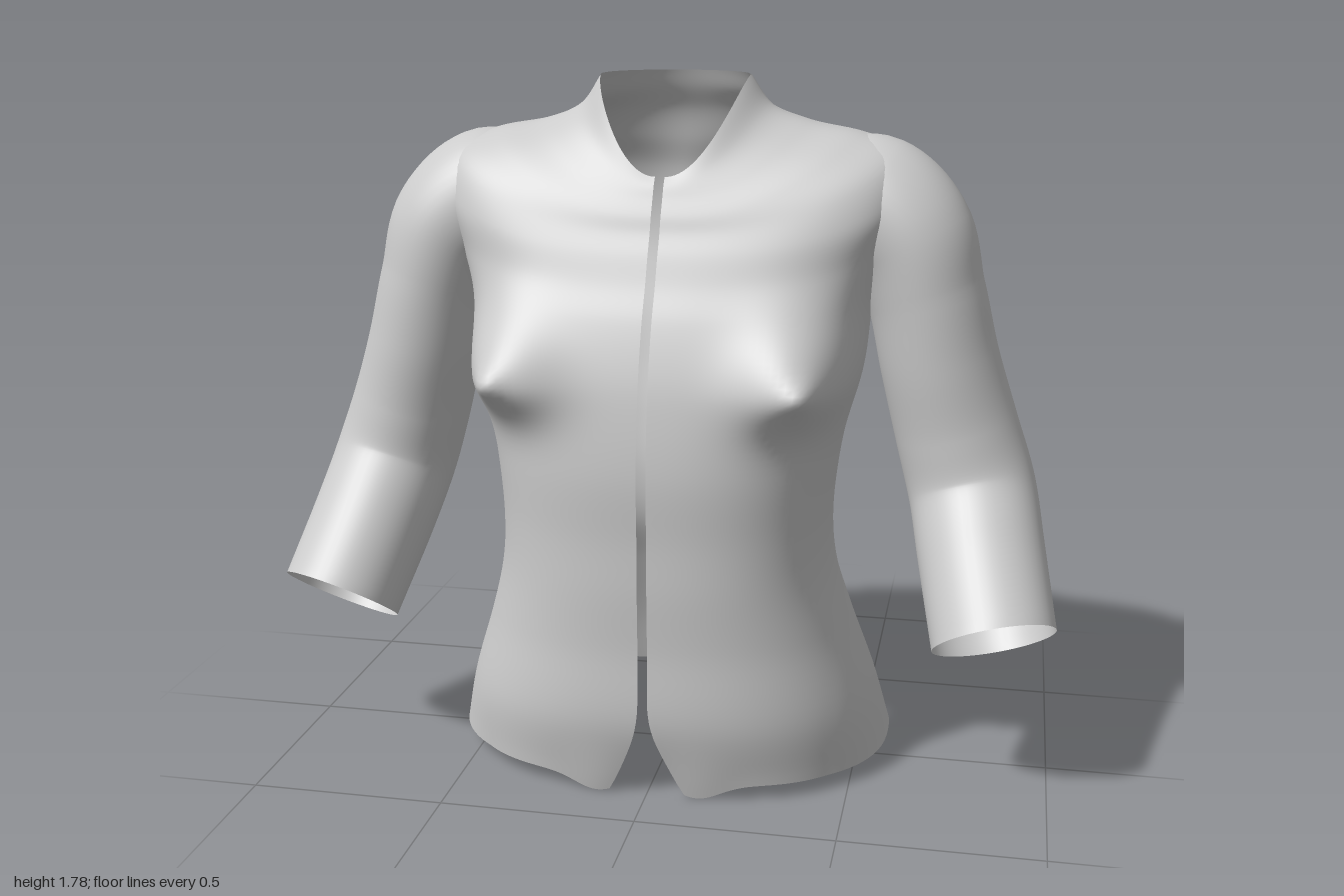
import * as THREE from 'three';

const bell = (x, w) => Math.exp(-((x / w) ** 2));

// Surface through a grid of points, rows[i][j]
function skin(rows, name) {
  const pos = [], idx = [], n = rows[0].length;
  rows.forEach(r => r.forEach(p => pos.push(p.x, p.y, p.z)));
  for (let i = 0; i < rows.length - 1; i++) {
    for (let j = 0; j < n - 1; j++) {
      const a = i * n + j, b = a + 1, c = a + n, d = c + 1;
      idx.push(a, b, d, a, d, c);
    }
  }
  const geo = new THREE.BufferGeometry();
  geo.setAttribute('position', new THREE.Float32BufferAttribute(pos, 3));
  geo.setIndex(idx);
  geo.computeVertexNormals();
  const mat = new THREE.MeshStandardMaterial({ color: 0xcccccc, roughness: 0.8, side: THREE.DoubleSide });
  const mesh = new THREE.Mesh(geo, mat);
  mesh.name = name;
  return mesh;
}

// Body rings from hem to neck:
// front y, front z, half width, side y, side z, back y, back z, roundness
const RINGS = [
  [0.04, 0.35, 0.58, 0.04, -0.08, 0.04, -0.45, 0.82],
  [0.20, 0.395, 0.54, 0.20, -0.04, 0.20, -0.40, 0.82],
  [0.40, 0.395, 0.475, 0.40, 0.0, 0.40, -0.32, 0.82],
  [0.55, 0.40, 0.435, 0.55, 0.03, 0.55, -0.255, 0.82],
  [0.68, 0.40, 0.425, 0.68, 0.04, 0.68, -0.24, 0.80],
  [0.85, 0.405, 0.44, 0.85, 0.03, 0.85, -0.26, 0.78],
  [1.00, 0.39, 0.47, 1.00, 0.0, 1.00, -0.29, 0.75],
  [1.10, 0.37, 0.49, 1.10, -0.02, 1.10, -0.31, 0.75],
  [1.22, 0.33, 0.51, 1.24, -0.03, 1.22, -0.335, 0.76],
  [1.30, 0.29, 0.55, 1.36, -0.04, 1.34, -0.35, 0.78],
  [1.37, 0.26, 0.60, 1.50, -0.05, 1.44, -0.345, 0.80],
  [1.42, 0.235, 0.58, 1.60, -0.06, 1.52, -0.325, 0.82],
  [1.46, 0.22, 0.47, 1.645, -0.06, 1.60, -0.285, 0.86],
  [1.50, 0.20, 0.34, 1.67, -0.06, 1.68, -0.25, 0.92],
  [1.53, 0.185, 0.24, 1.71, -0.05, 1.74, -0.215, 1],
  [1.55, 0.17, 0.183, 1.785, -0.04, 1.785, -0.195, 1],
];

function ringPoint([yf, zf, w, ys, zs, yb, zb, e], t) {
  const s = Math.sin(t), c = Math.cos(t), front = c > 0;
  const x = Math.sign(s) * w * Math.abs(s) ** e;
  const z = zs + ((front ? zf : zb) - zs) * Math.abs(c) ** e;
  const y = ys + ((front ? yf : yb) - ys) * c * c;
  return new THREE.Vector3(x, y, z);
}

// Bust, spine groove, front opening and hem dip
function sculpt(p, side, front) {
  const ax = Math.abs(p.x);
  if (front) {
    const dx = ax - 0.35, dy = p.y - 1.07;
    const low = dy < 0 ? 0.095 : 0.15;
    const lift = 0.105 * bell(dx, 0.13) * bell(dy, low) + 0.025 * bell(dx, 0.035) * bell(dy, 0.035);
    p.z += lift;
    p.x += side * lift * 0.25;
    const k = Math.max(0, 1 - p.y / 0.28);
    const gap = 0.012 + 0.12 * k ** 2.2;
    p.x += side * gap * Math.max(0, 1 - ax / 0.45);
    p.y -= 0.04 * bell(Math.abs(p.x) - 0.13, 0.08) * bell(p.y - 0.04, 0.08);
  } else {
    const fade = THREE.MathUtils.smoothstep(1.7 - p.y, 0, 0.25);
    p.z += fade * (0.03 * bell(p.x, 0.09) + 0.025 * bell(p.x, 0.05) * bell(p.y, 0.2));
    p.z -= 0.02 * bell(ax - 0.24, 0.12) * bell(p.y - 1.36, 0.18);
  }
  return p;
}

function makeBody() {
  const COLS = 160, STEPS = 110, rows = [];
  for (let i = 0; i <= STEPS; i++) rows.push([]);
  // two halves meet at the back and stay open at the front
  for (let j = 0; j <= COLS; j++) {
    const a = (j / COLS * 2 - 1) * Math.PI;
    const t = a - 0.36 * Math.sin(2 * a) + Math.PI;
    const m = t % (2 * Math.PI);
    const side = j === COLS / 2 ? 0 : (j < COLS / 2 ? 1 : -1);
    const curve = new THREE.CatmullRomCurve3(RINGS.map(r => ringPoint(r, m)));
    const front = Math.cos(m) > 0;
    for (let i = 0; i <= STEPS; i++) rows[i].push(sculpt(curve.getPoint(i / STEPS), side, front));
  }
  return skin(rows, 'body');
}

// Sleeve stations: centre x, y, z, radius across, radius front to back
const ARM = [
  [0.38, 1.47, -0.06, 0.15, 0.15],
  [0.50, 1.46, -0.055, 0.18, 0.18],
  [0.59, 1.39, -0.04, 0.165, 0.18],
  [0.64, 1.25, -0.035, 0.148, 0.175],
  [0.68, 1.08, -0.035, 0.15, 0.17],
  [0.73, 0.90, -0.04, 0.157, 0.167],
  [0.775, 0.75, -0.02, 0.162, 0.165],
  [0.805, 0.62, 0.07, 0.16, 0.165],
  [0.85, 0.435, 0.225, 0.155, 0.16],
];

function makeSleeve(side) {
  const path = new THREE.CatmullRomCurve3(ARM.map(a => new THREE.Vector3(a[0], a[1], a[2])));
  const radii = new THREE.CatmullRomCurve3(ARM.map(a => new THREE.Vector3(a[3], a[4], 0)));
  const cuffDir = new THREE.Vector3(0.08, -0.27, 0.17).normalize();
  const rows = [], STEPS = 64, SIDES = 48;
  for (let i = 0; i <= STEPS; i++) {
    const k = i / STEPS, c = path.getPoint(k), r = radii.getPoint(k);
    const dir = path.getTangent(k).lerp(cuffDir, THREE.MathUtils.smoothstep(k, 0.85, 1)).normalize();
    const v = new THREE.Vector3(0, 0, 1).addScaledVector(dir, -dir.z).normalize();
    const u = new THREE.Vector3().crossVectors(v, dir);
    const row = [];
    for (let j = 0; j <= SIDES; j++) {
      // seam on the inner side of the arm
      const a = side * j / SIDES * Math.PI * 2;
      const p = c.clone().addScaledVector(u, r.x * Math.cos(a)).addScaledVector(v, r.y * Math.sin(a));
      p.x *= side;
      row.push(p);
    }
    rows.push(row);
  }
  const mesh = skin(rows, side > 0 ? 'leftSleeve' : 'rightSleeve');
  // match normals along the seam
  const nor = mesh.geometry.attributes.normal;
  for (let i = 0; i <= STEPS; i++) {
    const a = i * (SIDES + 1), b = a + SIDES;
    const n = new THREE.Vector3().fromBufferAttribute(nor, a)
      .add(new THREE.Vector3().fromBufferAttribute(nor, b)).normalize();
    nor.setXYZ(a, n.x, n.y, n.z);
    nor.setXYZ(b, n.x, n.y, n.z);
  }
  return mesh;
}

export function createModel() {
  const group = new THREE.Group();
  group.name = 'openFrontTop';
  group.add(makeBody(), makeSleeve(1), makeSleeve(-1));
  return group;
}
